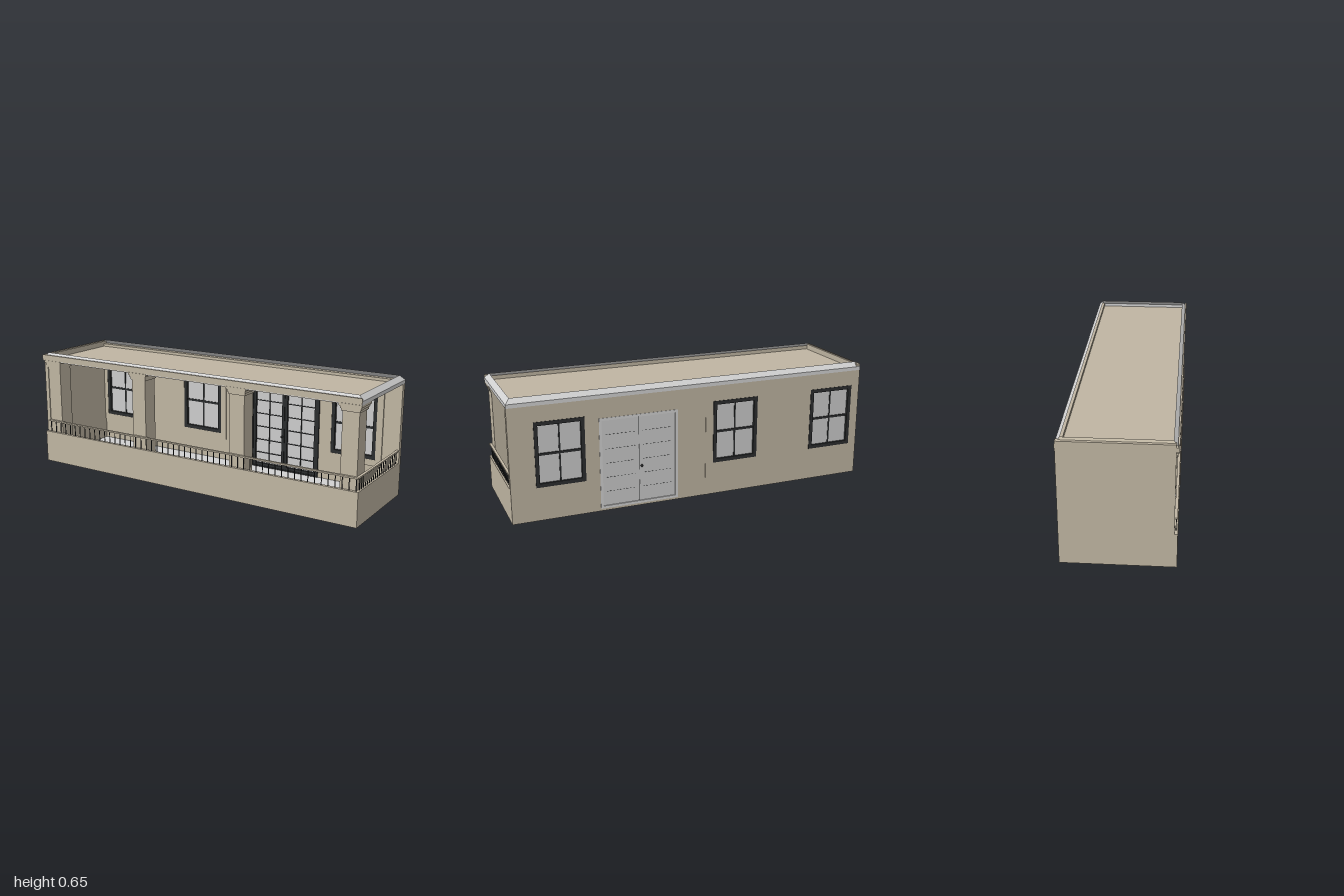
import * as THREE from 'three';

const mat = (name, color, side = THREE.FrontSide) => {
  const m = new THREE.MeshStandardMaterial({ color, side });
  m.name = name;
  return m;
};

export function createModel() {
  const root = new THREE.Group();
  root.name = 'porch';
  const stucco = mat('beige stucco', 0xbfb5a2, THREE.DoubleSide);
  const grey = mat('light grey', 0xd2d2d2, THREE.DoubleSide);
  const glass = mat('pane grey', 0xcccccc);
  const dark = mat('dark frame', 0x2b2d2e);

  const add = (name, geo, m, parent = root) => {
    const mesh = new THREE.Mesh(geo, m);
    mesh.name = name;
    parent.add(mesh);
    return mesh;
  };
  // Box given by its extents on each axis
  const box = (name, m, x0, x1, y0, y1, z0, z1, parent = root) => {
    const mesh = add(name, new THREE.BoxGeometry(x1 - x0, y1 - y0, z1 - z0), m, parent);
    mesh.position.set((x0 + x1) / 2, (y0 + y1) / 2, (z0 + z1) / 2);
    return mesh;
  };
  const rect = (C, x0, x1, y0, y1) => new C([
    new THREE.Vector2(x0, y0), new THREE.Vector2(x1, y0),
    new THREE.Vector2(x1, y1), new THREE.Vector2(x0, y1)]);
  // Upright panel with rectangular openings
  const panel = (name, m, outer, holes, z0, z1, parent = root) => {
    const s = rect(THREE.Shape, ...outer);
    s.holes = holes.map(h => rect(THREE.Path, ...h));
    const geo = new THREE.ExtrudeGeometry(s, { depth: z1 - z0, bevelEnabled: false });
    add(name, geo, m, parent).position.z = z0;
  };
  const inset = ([x0, x1, y0, y1], d) => [x0 + d, x1 - d, y0 + d, y1 - d];
  const group = name => {
    const g = new THREE.Group();
    g.name = name;
    root.add(g);
    return g;
  };

  // Floor, end wall, low parapets and roof slab
  box('floor', grey, -0.985, 0.99, 0.002, 0.02, -0.265, 0.27);
  box('endWall', stucco, -1, -0.975, 0, 0.645, -0.278, 0.265);
  box('frontParapet', stucco, -1, 1, 0, 0.183, 0.262, 0.28);
  box('sideParapet', stucco, 0.982, 1, 0, 0.183, -0.255, 0.265);
  box('roofSlab', stucco, -0.98, 0.995, 0.607, 0.614, -0.255, 0.275);
  box('frontFascia', stucco, -1, 1, 0.613, 0.645, 0.272, 0.28);

  // Back wall with openings
  const windows = [[-0.95, -0.69, 0.18, 0.525], [-0.36, -0.1, 0.18, 0.525], [0.61, 0.87, 0.18, 0.525]];
  const door = [0.105, 0.535, 0.012, 0.505];
  panel('backWall', stucco, [-1, 1, 0, 0.63], [...windows, door], -0.278, -0.25);
  box('backSeam', stucco, -0.07, -0.055, 0, 0.63, -0.28, -0.277);

  // Windows with surround, frame, panes and bars
  windows.forEach(w => {
    const g = group('window');
    const [x0, x1, y0, y1] = w, cx = (x0 + x1) / 2, cy = (y0 + y1) / 2;
    panel('windowSurround', stucco, inset(w, -0.035), [w], -0.251, -0.243, g);
    panel('windowFrame', dark, w, [inset(w, 0.02)], -0.281, -0.244, g);
    box('windowPane', glass, x0 + 0.015, x1 - 0.015, y0 + 0.015, y1 - 0.015, -0.268, -0.26, g);
    box('middleRail', dark, x0 + 0.015, x1 - 0.015, cy - 0.006, cy + 0.006, -0.274, -0.255, g);
    box('glazingBar', dark, cx - 0.004, cx + 0.004, y0 + 0.015, y1 - 0.015, -0.271, -0.257, g);
  });

  // Glazed double door, plain on the back
  const dg = group('doubleDoor');
  const mid = (door[0] + door[1]) / 2;
  panel('doorFrame', dark, door, [inset(door, 0.014)], -0.265, -0.243, dg);
  panel('doorBackFrame', grey, door, [inset(door, 0.014)], -0.28, -0.265, dg);
  [[door[0] + 0.014, mid - 0.001], [mid + 0.001, door[1] - 0.014]].forEach(([x0, x1]) => {
    const leaf = [x0, x1, door[2] + 0.014, door[3] - 0.014];
    const cx = (x0 + x1) / 2;
    panel('leafFrame', dark, leaf, [inset(leaf, 0.016)], -0.262, -0.248, dg);
    box('leafPane', glass, x0, x1, leaf[2], leaf[3], -0.274, -0.26, dg);
    box('leafBar', dark, cx - 0.002, cx + 0.002, leaf[2], leaf[3], -0.262, -0.254, dg);
    for (let i = 1; i < 6; i++) {
      const y = leaf[2] + (leaf[3] - leaf[2]) * i / 6;
      box('leafBar', dark, x0, x1, y - 0.002, y + 0.002, -0.262, -0.254, dg);
      box('leafGroove', dark, x0 + 0.02, x1 - 0.02, y - 0.0006, y + 0.0006, -0.2744, -0.2735, dg);
    }
  });
  box('leafGap', dark, mid - 0.001, mid + 0.001, 0.026, 0.491, -0.273, -0.262, dg);
  [-0.281, -0.242].forEach(z => {
    add('doorKnob', new THREE.SphereGeometry(0.007, 12, 8), dark, dg).position.set(mid - 0.012, 0.222, z);
  });

  // Columns with stepped capitals
  [-0.928, -0.315, 0.312, 0.94].forEach(x => {
    const g = group('column');
    box('columnShaft', stucco, x - 0.044, x + 0.044, 0, 0.61, 0.176, 0.264, g);
    [[0.572, 0.585, 0.050], [0.585, 0.598, 0.054], [0.598, 0.612, 0.059]].forEach(([y0, y1, r]) =>
      box('capital', stucco, x - r, x + r, y0, y1, 0.22 - r, 0.22 + r, g));
  });

  // Railings along the front and the open side
  const rail = group('railing');
  box('frontHandrail', stucco, -0.975, 0.998, 0.247, 0.255, 0.264, 0.278, rail);
  box('sideHandrail', stucco, 0.984, 0.998, 0.247, 0.255, -0.25, 0.264, rail);
  const baluster = (x, z) =>
    box('baluster', dark, x - 0.0018, x + 0.0018, 0.182, 0.248, z - 0.0018, z + 0.0018, rail);
  for (let i = 0; i < 54; i++) baluster(-0.965 + i * 0.0368, 0.271);
  for (let i = 1; i < 21; i++) baluster(0.991, 0.268 - i * 0.025);

  // Mitred coping that leans inward around the roof
  const loop = (x0, x1, z0, z1, y) => [[x0, y, z1], [x1, y, z1], [x1, y, z0], [x0, y, z0]];
  const rings = [loop(-1, 1, -0.28, 0.277, 0.61), loop(-1, 1, -0.28, 0.277, 0.63), loop(-0.974, 0.976, -0.256, 0.252, 0.655)];
  const names = ['frontCoping', 'rightCoping', 'backCoping', 'leftCoping'];
  names.forEach((name, i) => {
    const j = (i + 1) % 4, v = [];
    for (let k = 0; k < 2; k++) {
      const [a, b, c, d] = [rings[k][i], rings[k][j], rings[k + 1][j], rings[k + 1][i]];
      v.push(...a, ...b, ...c, ...a, ...c, ...d);
    }
    const geo = new THREE.BufferGeometry();
    geo.setAttribute('position', new THREE.Float32BufferAttribute(v, 3));
    geo.computeVertexNormals();
    add(name, geo, i === 3 ? stucco : grey);
  });

  // Dome ceiling lamps
  const profile = [[0.027, 0.575], [0.0265, 0.582], [0.023, 0.592], [0.016, 0.6], [0.008, 0.604], [0.007, 0.606], [0.012, 0.611]]
    .map(([r, y]) => new THREE.Vector2(r, y));
  [-0.625, -0.02, 0.62].forEach(x => {
    add('ceilingLamp', new THREE.LatheGeometry(profile, 24), grey).position.set(x, 0, -0.045);
    const lens = add('lampLens', new THREE.CircleGeometry(0.027, 24), grey);
    lens.rotation.x = Math.PI / 2;
    lens.position.set(x, 0.575, -0.045);
  });

  return root;
}
